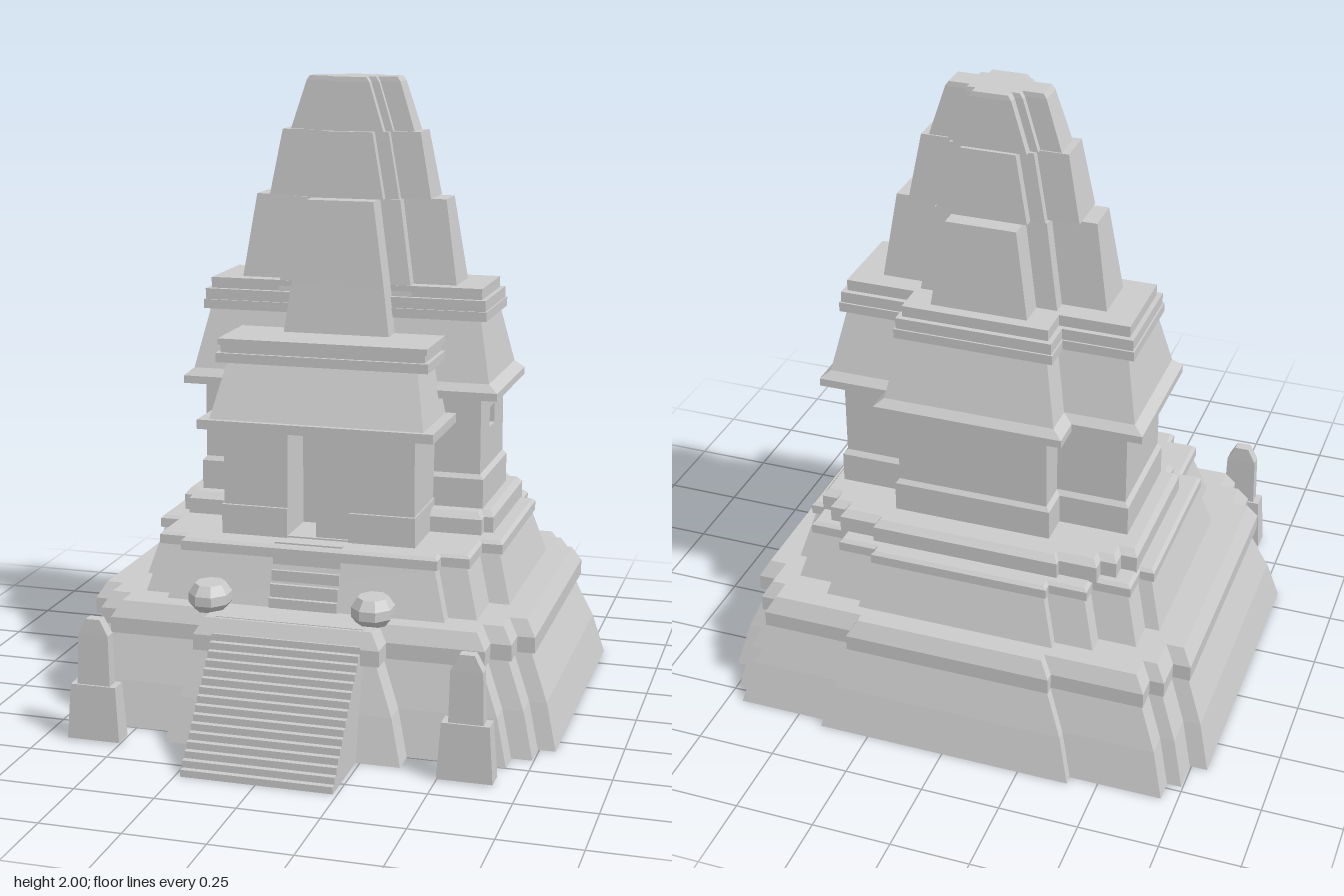
import * as THREE from 'three';

const mat = new THREE.MeshStandardMaterial({ color: 0xcccccc, flatShading: true });
const shellMat = new THREE.MeshStandardMaterial({ color: 0xcccccc, flatShading: true, side: THREE.DoubleSide });

// Lofts a stepped plan. half = right-hand [x, z] outline from front to back;
// layers = [y, insetX, insetZ] from bottom to top.
function loftGeometry(half, layers, open) {
  const rings = layers.map(([y, ix, iz]) => {
    const right = half.map(([x, z]) => [x - ix, y, z - Math.sign(z) * iz]);
    return right.concat([...right].reverse().map(([x, h, z]) => [-x, h, z]));
  });
  const pos = [];
  for (let k = 0; k < rings.length - 1; k++) {
    const lo = rings[k], hi = rings[k + 1], n = lo.length;
    for (let i = 0; i < n; i++) {
      const j = (i + 1) % n;
      pos.push(...lo[i], ...lo[j], ...hi[j], ...lo[i], ...hi[j], ...hi[i]);
    }
  }
  const cap = (ring, flip) => {
    const flat = ring.map((p) => new THREE.Vector2(p[0], -p[2]));
    for (const [a, b, c] of THREE.ShapeUtils.triangulateShape(flat, [])) {
      pos.push(...ring[a], ...ring[flip ? c : b], ...ring[flip ? b : c]);
    }
  };
  if (!open) cap(rings[0], true);
  cap(rings[rings.length - 1], false);
  const g = new THREE.BufferGeometry();
  g.setAttribute('position', new THREE.Float32BufferAttribute(pos, 3));
  g.computeVertexNormals();
  return g;
}

// Plain rectangle and three-step cross plans
const rect = (x, zf, zb) => [[x, zf], [x, zb]];
function cross(ax, az, mx, mz, bx, bz) {
  const front = [[bx, bz], [bx, mz], [mx, mz], [mx, az], [ax, az]];
  return front.concat([...front].reverse().map(([x, z]) => [x, -z]));
}
const vec = (pts) => pts.map((p) => new THREE.Vector2(...p));

export function createModel() {
  const model = new THREE.Group();
  const add = (name, geo, x = 0, y = 0, z = 0, material = mat) => {
    const m = new THREE.Mesh(geo, material);
    m.name = name;
    m.position.set(x, y, z);
    model.add(m);
    return m;
  };
  const loft = (name, half, layers, x = 0, z = 0) => add(name, loftGeometry(half, layers, false), x, 0, z);
  const box = (name, x0, x1, y0, y1, z0, z1) =>
    add(name, new THREE.BoxGeometry(x1 - x0, y1 - y0, z1 - z0), (x0 + x1) / 2, (y0 + y1) / 2, (z0 + z1) / 2);
  // Extrudes a [-z, y] profile along x, starting at x0
  const extrudeX = (name, shape, x0, width) => {
    const g = new THREE.ExtrudeGeometry(shape, { depth: width, bevelEnabled: false });
    g.rotateY(Math.PI / 2);
    add(name, g, x0);
  };
  const CX = 0.015, CZ = -0.2;

  // Stepped base tiers; the lowest is an open skirt with a recessed floor plate
  const basePlan = [
    [0.375, 0.585], [0.375, 0.5], [0.68, 0.5], [0.68, 0.42], [0.745, 0.42], [0.745, 0.33], [0.8, 0.33],
    [0.8, -0.63], [0.745, -0.63], [0.745, -0.73], [0.7, -0.73], [0.7, -0.8], [0.41, -0.8], [0.41, -0.83],
  ];
  add('lowerPlinth', loftGeometry(basePlan, [
    [0, 0, 0], [0.14, 0.037, 0.037], [0.29, 0.1, 0.085], [0.29, 0.08, 0.05], [0.34, 0.08, 0.05], [0.39, 0.11, 0.075],
  ], true), 0, 0, 0, shellMat);
  loft('floorPlate', basePlan, [[0.1, 0.027, 0.027], [0.13, 0.036, 0.036]]);
  loft('middlePlinth', [
    [0.45, 0.365], [0.45, 0.315], [0.54, 0.315], [0.54, 0.135], [0.605, 0.135],
    [0.605, -0.5], [0.56, -0.5], [0.56, -0.6], [0.44, -0.6], [0.44, -0.66], [0.32, -0.66], [0.32, -0.69],
  ], [[0.385, 0, 0], [0.54, 0.045, 0.05], [0.54, 0.035, 0.04], [0.57, 0.035, 0.04], [0.58, 0.045, 0.05]], 0.007);
  loft('upperPlinth', [
    [0.49, 0.24], [0.49, 0.2], [0.52, 0.2], [0.52, -0.28], [0.47, -0.28], [0.47, -0.33],
    [0.42, -0.33], [0.42, -0.37], [0.3, -0.37], [0.3, -0.39],
  ], [[0.575, 0, 0], [0.63, 0, 0], [0.65, 0.015, 0.02]], 0.007, CZ);

  // Sanctum: footing, walls with a window passing through, rear bay
  const plan = (o) => [[0.46 + o, 0.165 + o], [0.46 + o, -0.185 - o], [0.24 + o, -0.185 - o], [0.24 + o, -0.285 - o]];
  loft('sanctumFooting', plan(0.012), [[0.6, 0, 0], [0.745, 0, 0], [0.76, 0.012, 0.012]], CX, CZ);
  const side = new THREE.Shape(vec([[0.032, 0.76], [0.385, 0.76], [0.385, 1.02], [0.032, 1.02]]));
  side.holes.push(new THREE.Path(vec([[0.17, 0.885], [0.17, 0.95], [0.245, 0.95], [0.245, 0.885]])));
  extrudeX('sanctumWalls', side, CX - 0.46, 0.92);
  box('sanctumRearBay', CX - 0.24, CX + 0.24, 0.76, 1.02, -0.488, -0.38);

  // Sanctum roof: eave, sloped course, stacked mouldings
  loft('sanctumRoof', plan(0.05), [
    [1.01, -0.01, 0], [1.035, -0.01, 0], [1.06, 0.02, 0.02], [1.25, 0.06, 0.075], [1.25, 0.04, 0.062],
    [1.28, 0.04, 0.062], [1.28, 0.045, 0.068], [1.315, 0.045, 0.068], [1.315, 0.06, 0.085], [1.35, 0.06, 0.085],
  ], CX, CZ);

  // Tapering tower in three cross-shaped stages
  const stages = [
    [cross(0.385, 0.105, 0.245, 0.15, 0.18, 0.235), [[1.15, 0, 0], [1.35, 0.028, 0.022], [1.62, 0.07, 0.047]]],
    [cross(0.268, 0.075, 0.17, 0.1, 0.125, 0.13), [[1.62, 0, 0], [1.83, 0.04, 0.015]]],
    [cross(0.205, 0.05, 0.14, 0.07, 0.115, 0.098), [[1.83, 0, 0], [1.985, 0.05, 0.01], [2, 0.06, 0.012]]],
  ];
  stages.forEach(([half, layers], i) => loft('towerStage' + (i + 1), half, layers, CX, CZ - 0.005 * i));

  // Entrance hall: side walls on footings, one fixed leaf beside the open doorway
  for (const s of [-1, 1]) {
    const a = CX + s * 0.1, b = CX + s * 0.31;
    box('hallWall', Math.min(a, b), Math.max(a, b), 0.57, 0.93, -0.05, 0.228);
    const c = CX + s * 0.315;
    box('hallFooting', Math.min(a, c), Math.max(a, c), 0.57, 0.675, -0.05, 0.238);
  }
  box('hallFloor', CX - 0.11, CX + 0.11, 0.56, 0.585, -0.05, 0.23);
  box('doorLeaf', 0.005, CX + 0.11, 0.58, 0.93, 0.05, 0.22);
  box('innerDoor', CX - 0.11, CX + 0.11, 0.58, 0.93, -0.05, 0.06);
  loft('hallRoof', rect(0.38, 0.283, -0.135), [
    [0.925, 0, 0], [0.955, 0, 0], [0.955, 0.035, 0.018], [1.125, 0.072, 0.088], [1.125, 0.037, 0.078],
    [1.155, 0.037, 0.078], [1.155, 0.05, 0.09], [1.18, 0.05, 0.09], [1.18, 0.042, 0.085], [1.2, 0.042, 0.085],
  ], CX);

  // Stairs: a folded run of steps between solid cheeks
  function stairs(name, halfWidth, x, y0, y1, zFront, zTop, n) {
    const steps = [[-zFront, y0]];
    for (let i = 0; i < n; i++) {
      const y = y0 + ((y1 - y0) * (i + 1)) / n;
      steps.push([-zFront + ((zFront - zTop) * i) / n, y], [-zFront + ((zFront - zTop) * (i + 1)) / n, y]);
    }
    const under = [...steps].reverse().map(([u, y]) => [u + 0.015, Math.max(y - 0.015, y0)]);
    extrudeX(name + 'Treads', new THREE.Shape(vec(steps.concat(under))), x - halfWidth, 2 * halfWidth);
    for (const x0 of [x - halfWidth, x + halfWidth - 0.01]) {
      extrudeX(name + 'Cheek', new THREE.Shape(vec(steps.concat([[-zTop, y0]]))), x0, 0.01);
    }
  }
  stairs('mainStairs', 0.235, 0.002, 0, 0.392, 0.83, 0.48, 18);
  stairs('upperStairs', 0.11, 0.005, 0.38, 0.585, 0.37, 0.29, 5);

  // Faceted urns flanking the stair head
  const urn = vec([[0, 0.385], [0.045, 0.385], [0.064, 0.41], [0.064, 0.44], [0.045, 0.47], [0, 0.47]]);
  for (const x of [-0.281, 0.243]) {
    const g = new THREE.LatheGeometry(urn, 8);
    g.rotateY(Math.PI / 8);
    add('urn', g, x, 0, 0.41).scale.set(1.05, 1, 1.18);
  }

  // Standing stones on pedestals either side of the approach
  for (const x of [-0.585, 0.585]) {
    loft('stonePedestal', rect(0.085, 0.035, -0.035), [[0.005, 0, 0], [0.18, 0.012, 0.006]], x, 0.613);
    loft('standingStone', rect(0.053, 0.022, -0.022), [[0.18, 0, 0], [0.34, 0.004, 0.002], [0.39, 0.03, 0.004]], x, 0.613);
  }
  return model;
}
